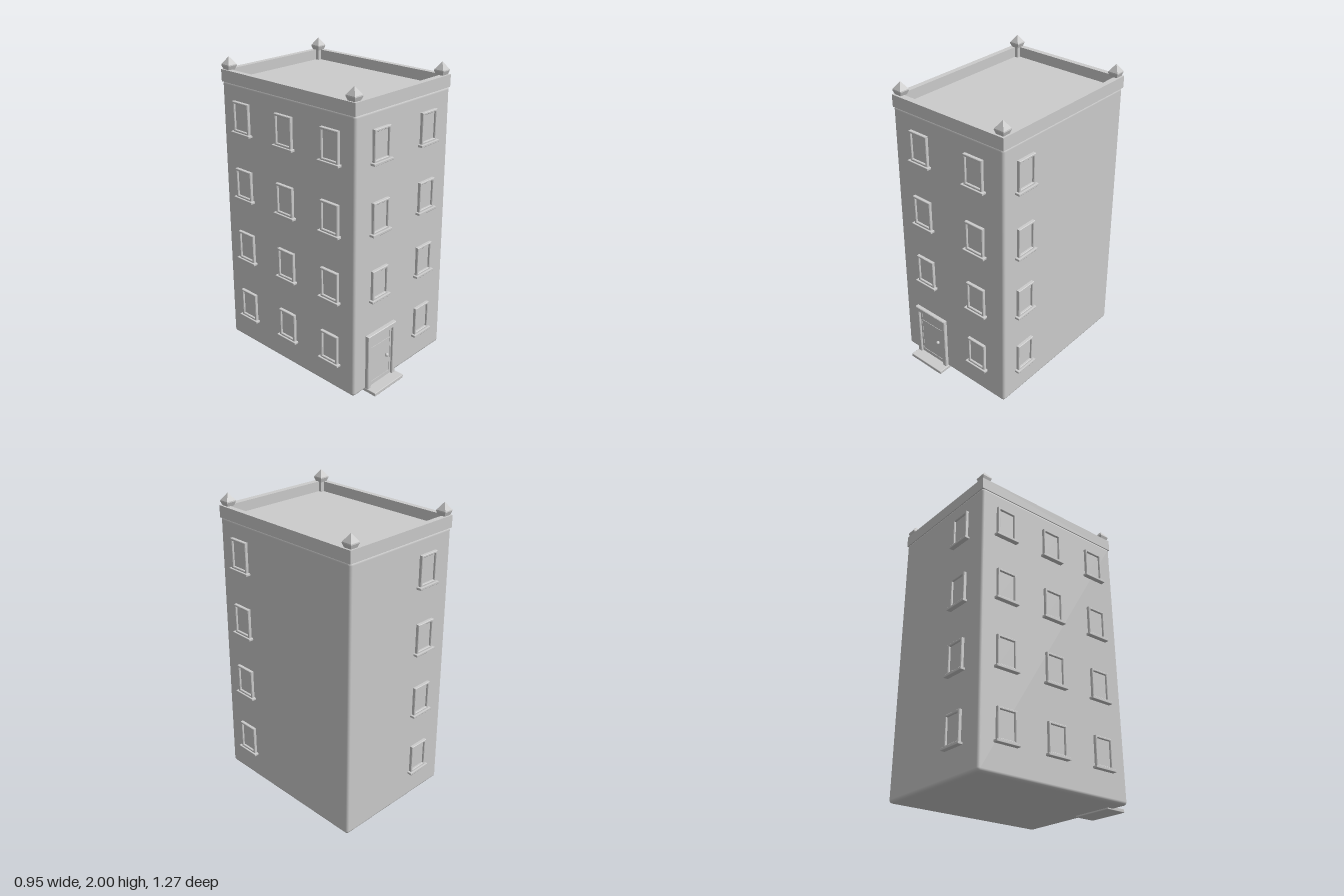
import * as THREE from 'three';
import { RoundedBoxGeometry } from 'three/addons/geometries/RoundedBoxGeometry.js';

const grey = new THREE.MeshStandardMaterial({ color: 0xcccccc });
const faceted = new THREE.MeshStandardMaterial({ color: 0xcccccc, flatShading: true });

const BASE = 0.01, TOP = 1.85, HEIGHT = TOP - BASE;
// footprint at the base and at the top: the walls lean slightly inwards
const FOOT = { left: 0.442, right: -0.447, front: 0.547, back: -0.606 };
const HEAD = { left: 0.431, right: -0.434, front: 0.531, back: -0.595 };
const wallAt = (side, y) => THREE.MathUtils.lerp(FOOT[side], HEAD[side], (y - BASE) / HEIGHT);

function add(parent, name, geometry, x = 0, y = 0, z = 0, material = grey) {
  const mesh = new THREE.Mesh(geometry, material);
  mesh.name = name;
  mesh.position.set(x, y, z);
  parent.add(mesh);
  return mesh;
}

function rect(PathType, x0, y0, x1, y1) {
  return new PathType([[x0, y0], [x1, y0], [x1, y1], [x0, y1]].map(p => new THREE.Vector2(...p)));
}

// rectangular ring extruded along z
function ring(outer, inner, depth, bevel = 0) {
  const shape = rect(THREE.Shape, ...outer);
  shape.holes.push(rect(THREE.Path, ...inner));
  return new THREE.ExtrudeGeometry(shape, {
    depth: depth - bevel, bevelEnabled: bevel > 0, bevelSegments: 1,
    bevelSize: bevel, bevelThickness: bevel, bevelOffset: -bevel,
  });
}

// rounded, tapering block
function bodyGeometry() {
  const geometry = new RoundedBoxGeometry(1, HEIGHT, 1.2, 4, 0.022);
  geometry.translate(0, HEIGHT / 2 + BASE, 0);
  const p = geometry.attributes.position;
  for (let i = 0; i < p.count; i++) {
    const y = p.getY(i);
    p.setX(i, THREE.MathUtils.lerp(wallAt('right', y), wallAt('left', y), p.getX(i) + 0.5));
    p.setZ(i, THREE.MathUtils.lerp(wallAt('back', y), wallAt('front', y), p.getZ(i) / 1.2 + 0.5));
  }
  return geometry;
}

// window facing +z, origin at the wall surface and its centre
const frameGeometry = ring([-0.071, -0.1, 0.071, 0.1], [-0.056, -0.084, 0.056, 0.085], 0.03, 0.003);
const paneGeometry = new THREE.BoxGeometry(0.12, 0.18, 0.02);
const sillGeometry = new RoundedBoxGeometry(0.172, 0.016, 0.044, 1, 0.003);
function makeWindow() {
  const group = new THREE.Group();
  group.name = 'window';
  add(group, 'windowFrame', frameGeometry, 0, 0, -0.01);
  add(group, 'windowPane', paneGeometry, 0, 0, -0.004);
  add(group, 'windowSill', sillGeometry, 0, -0.104, 0.01);
  return group;
}

function makeDoor() {
  const door = new THREE.Group();
  door.name = 'door';
  const frame = ring([-0.136, 0.01, 0.136, 0.41], [-0.104, 0.02, 0.104, 0.376], 0.037, 0.004);
  add(door, 'doorFrame', frame, 0, 0, -0.012);
  add(door, 'doorLeaf', new THREE.BoxGeometry(0.212, 0.36, 0.02), 0, 0.196, -0.004);
  // rails and stiles around two sunken panels
  for (const [y, h] of [[0.035, 0.03], [0.3, 0.012], [0.368, 0.016]])
    add(door, 'doorRail', new THREE.BoxGeometry(0.206, h, 0.01), 0, y, 0.004);
  for (const s of [-1, 1])
    add(door, 'doorStile', new THREE.BoxGeometry(0.012, 0.35, 0.01), s * 0.098, 0.197, 0.004);
  add(door, 'doorKnob', new THREE.SphereGeometry(0.012, 16, 12), 0.057, 0.187, 0.016);
  add(door, 'doorStep', new RoundedBoxGeometry(0.282, 0.024, 0.15, 2, 0.004), 0.003, 0.012, 0.013);
  return door;
}

export function createModel() {
  const model = new THREE.Group();
  model.name = 'apartmentBuilding';
  add(model, 'body', bodyGeometry());

  // parapet around the flat roof
  const parapet = ring([-0.436, -0.532, 0.434, 0.597], [-0.4, -0.49, 0.397, 0.56], 0.078);
  parapet.rotateX(-Math.PI / 2);
  add(model, 'parapet', parapet, 0, 1.842, 0);
  add(model, 'roof', new THREE.BoxGeometry(0.81, 0.01, 1.06), 0, 1.848, -0.035);

  // square corner posts with flared, pointed caps
  const r = Math.SQRT1_2;
  const profile = [[0.05, 1.84], [0.05, 1.918], [0.069, 1.945], [0.067, 1.952], [0, 2]]
    .map(([w, y]) => new THREE.Vector2(w * r, y));
  const post = new THREE.LatheGeometry(profile, 4).rotateY(Math.PI / 4);
  for (const x of [-0.4, 0.395])
    for (const z of [-0.56, 0.492])
      add(model, 'cornerPost', post, x, 0, z, faceted);

  // window columns on each wall: [wall, turn, place along the wall, first floor]
  const columns = [
    ['front', 0, -0.22, 1], ['front', 0, 0.217, 0],
    ['back', Math.PI, -0.22, 0],
    ['left', Math.PI / 2, 0.347, 0],
    ['right', -Math.PI / 2, 0.347, 0], ['right', -Math.PI / 2, -0.033, 0], ['right', -Math.PI / 2, -0.413, 0],
  ];
  for (const [side, turn, along, first] of columns) {
    for (let floor = first; floor < 4; floor++) {
      const y = 0.302 + floor * 0.446;
      const wall = wallAt(side, y);
      const win = makeWindow();
      win.rotation.y = turn;
      if (side === 'front' || side === 'back') win.position.set(along, y, wall);
      else win.position.set(wall, y, along);
      model.add(win);
    }
  }

  const door = makeDoor();
  door.position.set(-0.199, 0, wallAt('front', 0.2));
  model.add(door);
  return model;
}
